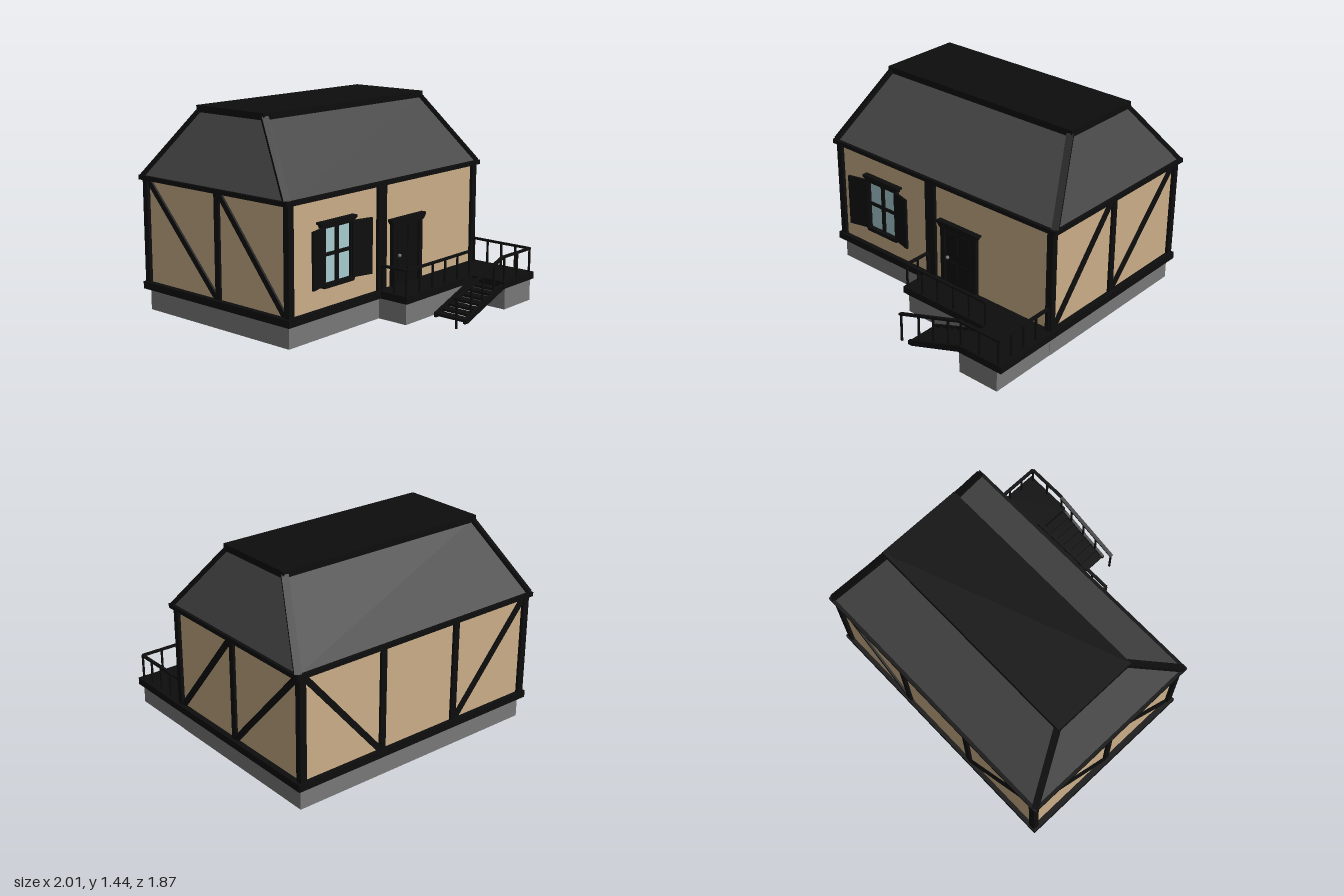
import * as THREE from 'three';

export function createModel() {
  const mat = (name, color) => {
    const m = new THREE.MeshStandardMaterial({ color });
    m.name = name;
    return m;
  };
  const timber = mat('black timber', 0x0d0d0d);
  const plaster = mat('tan plaster', 0xc9ad87);
  const slate = mat('roof slate', 0x484848);
  const stone = mat('grey stone', 0x787878);
  const glass = mat('window glass', 0xa6cbcf);
  const metal = mat('knob metal', 0x6f7478);

  const house = new THREE.Group();
  house.name = 'house';
  const add = (name, geo, material, parent = house) => {
    const m = new THREE.Mesh(geo, material);
    m.name = name;
    parent.add(m);
    return m;
  };
  // Box given by its limits on each axis
  const box = (name, material, x0, x1, y0, y1, z0, z1, parent) => {
    const m = add(name, new THREE.BoxGeometry(x1 - x0, y1 - y0, z1 - z0), material, parent);
    m.position.set((x0 + x1) / 2, (y0 + y1) / 2, (z0 + z1) / 2);
    return m;
  };
  // Bar between two points
  const bar = (name, a, b, w, h = w, parent = house) => {
    const p = new THREE.Vector3(...a), q = new THREE.Vector3(...b);
    const m = add(name, new THREE.BoxGeometry(w, h, p.distanceTo(q)), timber, parent);
    m.position.copy(p).add(q).multiplyScalar(0.5);
    m.lookAt(q);
    return m;
  };
  // Outline in x and y, extruded from z0 to z1
  const plate = (name, pts, z0, z1, material = timber, parent = house) => {
    const s = new THREE.Shape(pts.map(p => new THREE.Vector2(...p)));
    const g = new THREE.ExtrudeGeometry(s, { depth: z1 - z0, bevelEnabled: false });
    return add(name, g.translate(0, 0, z0), material, parent);
  };

  // Stone base under house, porch and landing
  box('houseFoundation', stone, -0.955, 0.955, 0.015, 0.17, -0.895, 0.41);
  box('porchFoundation', stone, -0.085, 0.953, 0.015, 0.17, 0.41, 0.64);
  box('landingFoundation', stone, 0.64, 0.953, 0.015, 0.17, 0.64, 0.925);

  // Floor, walls and eaves
  box('floorFrame', timber, -0.99, 0.99, 0.165, 0.215, -0.93, 0.445);
  box('walls', plaster, -0.95, 0.95, 0.21, 0.94, -0.9, 0.41);
  box('eaves', timber, -1, 1, 0.925, 0.955, -0.935, 0.445);

  // Timber framing
  for (const x of [-0.955, 0.945])
    for (const z of [-0.9, 0.41])
      box('cornerPost', timber, x - 0.02, x + 0.028, 0.21, 0.93, z - 0.022, z + 0.022);
  box('frontPost', timber, -0.12, -0.035, 0.21, 0.93, 0.4, 0.432);
  for (const s of [-1, 1]) {
    const x = 0.953 * s;
    box('sidePost', timber, x - 0.015, x + 0.015, 0.21, 0.93, -0.235, -0.193);
    bar('sideBrace', [x, 0.215, 0.385], [x, 0.925, -0.2], 0.024, 0.04);
    bar('sideBrace', [x, 0.215, -0.225], [x, 0.925, -0.885], 0.024, 0.04);
    box('backPost', timber, 0.31 * s - 0.022, 0.31 * s + 0.022, 0.21, 0.93, -0.918, -0.89);
    bar('backBrace', [0.33 * s, 0.22, -0.903], [0.93 * s, 0.92, -0.903], 0.024, 0.04);
  }

  // Hipped roof: four slopes, hip beams and flat cap
  const cz = -0.245;
  const ring = (hx, y, hz) => [[-1, 1], [1, 1], [1, -1], [-1, -1]]
    .map(([sx, sz]) => [sx * hx, y, cz + sz * hz]);
  const low = ring(0.98, 0.95, 0.67), high = ring(0.785, 1.41, 0.298);
  const pos = [];
  for (let i = 0; i < 4; i++) {
    const j = (i + 1) % 4;
    pos.push(...low[i], ...low[j], ...high[j], ...low[i], ...high[j], ...high[i]);
  }
  const roofGeo = new THREE.BufferGeometry();
  roofGeo.setAttribute('position', new THREE.Float32BufferAttribute(pos, 3));
  roofGeo.computeVertexNormals();
  add('roofSlopes', roofGeo, slate);
  for (let i = 0; i < 4; i++) bar('hipBeam', low[i], high[i], 0.045, 0.03);
  box('roofCap', timber, -0.807, 0.807, 1.395, 1.44, cz - 0.31, cz + 0.31);

  // Window with four panes and open shutters
  const win = new THREE.Group();
  win.name = 'window';
  house.add(win);
  const wx = -0.53;
  box('pane', glass, wx - 0.13, wx + 0.13, 0.375, 0.745, 0.412, 0.42, win);
  box('mullion', timber, wx - 0.014, wx + 0.014, 0.37, 0.75, 0.41, 0.432, win);
  box('transom', timber, wx - 0.13, wx + 0.13, 0.552, 0.574, 0.41, 0.432, win);
  for (const s of [-1, 1]) {
    const a = wx + s * 0.125, b = wx + s * 0.14;
    box('windowJamb', timber, Math.min(a, b), Math.max(a, b), 0.37, 0.75, 0.405, 0.44, win);
    const shutter = add('shutter', new THREE.BoxGeometry(0.155, 0.375, 0.016), timber, win);
    shutter.position.set(wx + s * 0.207, 0.56, 0.463);
    shutter.rotation.y = -s * 0.25;
  }
  plate('windowHead', [[wx - 0.15, 0.738], [wx + 0.15, 0.738], [wx + 0.155, 0.757], [wx + 0.172, 0.765],
    [wx + 0.172, 0.78], [wx - 0.172, 0.78], [wx - 0.172, 0.765], [wx - 0.155, 0.757]], 0.4, 0.452, timber, win);
  plate('windowSill', [[wx - 0.14, 0.35], [wx + 0.14, 0.35], [wx + 0.155, 0.378], [wx - 0.155, 0.378]],
    0.4, 0.452, timber, win);

  // Door with frame, raised panels, head and knob
  const door = new THREE.Group();
  door.name = 'door';
  house.add(door);
  box('doorLeaf', timber, 0.04, 0.325, 0.21, 0.64, 0.4, 0.425, door);
  for (const x of [0.025, 0.305]) box('doorJamb', timber, x, x + 0.035, 0.21, 0.65, 0.4, 0.44, door);
  for (const x of [0.085, 0.195])
    for (const [y0, y1] of [[0.25, 0.39], [0.45, 0.61]])
      box('doorPanel', timber, x, x + 0.085, y0, y1, 0.42, 0.431, door);
  plate('doorHead', [[0.025, 0.635], [0.34, 0.635], [0.365, 0.668], [0.365, 0.68], [0, 0.68], [0, 0.668]],
    0.4, 0.45, timber, door);
  add('doorKnob', new THREE.SphereGeometry(0.013, 12, 8), metal, door).position.set(0.09, 0.42, 0.442);

  // Porch deck and landing
  box('porchDeck', timber, -0.11, 0.99, 0.165, 0.215, 0.44, 0.665);
  box('landingDeck', timber, 0.62, 0.99, 0.165, 0.215, 0.66, 0.93);

  // Stairs running down along the porch
  const stairs = new THREE.Group();
  stairs.name = 'stairs';
  house.add(stairs);
  const side = [[0.185, 0.015], [0.215, 0.015], [0.64, 0.165], [0.64, 0.2], [0.6, 0.195], [0.185, 0.045]];
  plate('stringer', side, 0.665, 0.685, timber, stairs);
  plate('stringer', side, 0.905, 0.925, timber, stairs);
  for (let i = 0; i < 7; i++) {
    const x = 0.19 + i * 0.062, y = 0.035 + i * 0.022;
    box('tread', timber, x, x + 0.07, y - 0.01, y + 0.006, 0.68, 0.91, stairs);
  }

  // Railings
  const rails = new THREE.Group();
  rails.name = 'railings';
  house.add(rails);
  const post = (x, y0, y1, z) => box('railPost', timber, x - 0.006, x + 0.006, y0, y1, z - 0.006, z + 0.006, rails);
  const railing = (a, b, n) => {
    bar('handrail', [a[0], 0.386, a[1]], [b[0], 0.386, b[1]], 0.022, 0.014, rails);
    for (let i = 0; i <= n; i++) {
      const t = i / n;
      post(a[0] + (b[0] - a[0]) * t, 0.2, 0.386, a[1] + (b[1] - a[1]) * t);
    }
  };
  railing([-0.09, 0.44], [-0.09, 0.645], 2);
  railing([-0.09, 0.645], [0.61, 0.645], 5);
  railing([0.955, 0.44], [0.955, 0.912], 4);
  railing([0.645, 0.912], [0.955, 0.912], 2);
  bar('stairHandrail', [0.1, 0.205, 0.907], [0.645, 0.388, 0.907], 0.026, 0.014, rails);
  [[0.11, 0], [0.27, 0.06], [0.4, 0.11], [0.53, 0.15]].forEach(([x, y]) =>
    post(x, y, 0.205 + (x - 0.1) * 0.336, 0.907));

  return house;
}
